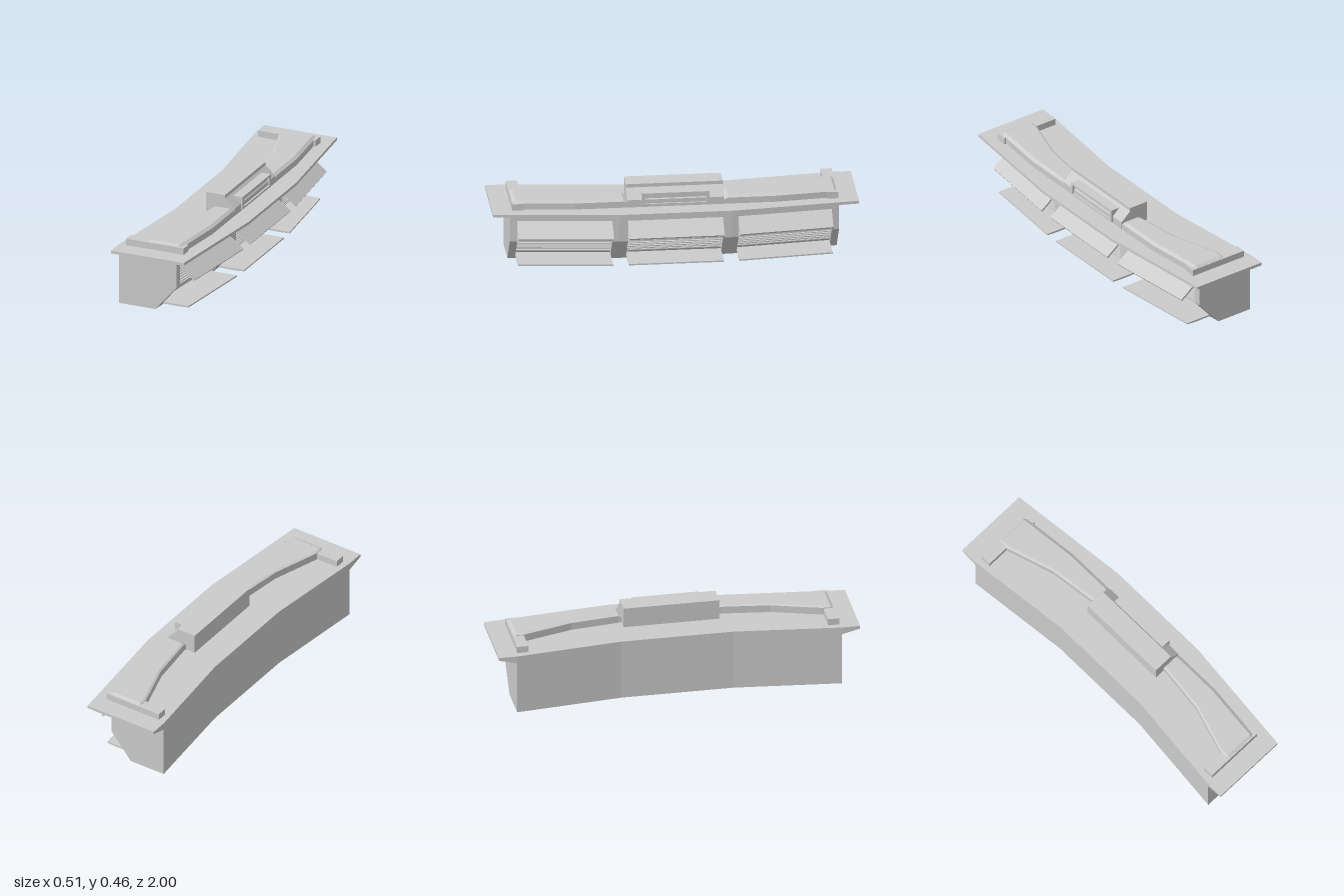
import * as THREE from 'three';

const HALF = 0.31; // straight middle section; beyond it the wings sweep back
const bend = (x, z) => x - 0.105 * Math.max(0, Math.abs(z) - HALF);

// Loft of xy cross-sections [z, points] along z, capped at both ends, flat faces
function loft(sections, bent = true) {
  const rows = sections.slice().sort((a, b) => a[0] - b[0]).map(([z, pts]) => {
    const v = pts.map(([x, y]) => new THREE.Vector2(bent ? bend(x, z) : x, y));
    if (THREE.ShapeUtils.area(v) < 0) v.reverse();
    return { z, v };
  });
  const pos = [];
  const put = (r, i) => pos.push(r.v[i].x, r.v[i].y, r.z);
  for (let k = 0; k < rows.length - 1; k++) {
    const A = rows[k], B = rows[k + 1], n = A.v.length;
    for (let i = 0; i < n; i++) {
      const j = (i + 1) % n;
      put(A, i); put(A, j); put(B, j);
      put(A, i); put(B, j); put(B, i);
    }
  }
  [[rows[0], -1], [rows[rows.length - 1], 1]].forEach(([r, dir]) => {
    for (const t of THREE.ShapeUtils.triangulateShape(r.v, [])) {
      const facing = THREE.ShapeUtils.area(t.map(i => r.v[i]));
      (facing * dir < 0 ? [t[0], t[2], t[1]] : t).forEach(i => put(r, i));
    }
  });
  const g = new THREE.BufferGeometry();
  g.setAttribute('position', new THREE.Float32BufferAttribute(pos, 3));
  g.computeVertexNormals();
  return g;
}

export function createModel() {
  const root = new THREE.Group();
  root.name = 'curvedConsoleDesk';
  const mat = new THREE.MeshStandardMaterial({ color: 0xcccccc, flatShading: true });
  const add = (name, geo, parent = root) => {
    const m = new THREE.Mesh(geo, mat);
    m.name = name;
    parent.add(m);
    return m;
  };
  const prism = (pts, zs) => loft(zs.map(z => [z, pts]));

  // Cabinet: solid pillars between three recessed bays
  const solid = [[-0.19, 0], [0.025, 0], [0.152, 0.147], [0.152, 0.302], [-0.19, 0.302]];
  const recessed = [[-0.19, 0], [0.025, 0], [0.051, 0.03], [0.015, 0.03], [0.1, 0.135],
    [0.1, 0.267], [0.152, 0.267], [0.152, 0.302], [-0.19, 0.302]];
  const pillars = [[-0.9, -0.86], [-0.345, -HALF, -0.26], [0.26, HALF, 0.345], [0.86, 0.9]];
  const bays = [[-0.86, -0.345], [-0.26, 0.26], [0.345, 0.86]];
  pillars.forEach(zs => add('pillar', prism(solid, zs)));

  const surfaceX = y => Math.min(0.152, 0.025 + y * 0.864);
  bays.forEach(zs => {
    const bay = new THREE.Group();
    bay.name = 'bay';
    root.add(bay);
    add('cabinetBay', prism(recessed, zs), bay);
    // Louvre slats follow the front of the cabinet, set back a little
    for (let i = 0; i < 14; i++) {
      const y = 0.05 + i * 0.0155;
      const tip = Math.min(0.145, surfaceX(y) - (y < 0.14 ? 0.024 : 0.007));
      add('slat', prism([[tip - 0.065, y - 0.004], [tip, y], [tip, y + 0.005], [tip - 0.065, y + 0.009]], zs), bay);
    }
    // Open hatch flaps
    add('upperFlap', prism([[0.15, 0.267], [0.242, 0.196], [0.236, 0.187], [0.144, 0.258]], zs), bay);
    add('lowerFlap', prism([[0.05, 0.033], [0.202, 0.033], [0.202, 0.025], [0.14, 0.022], [0.05, 0.024]], zs), bay);
  });

  // Desk top with chamfered underside, overhanging the front and both ends
  const plate = (xb, xf, xi, yr, yb) => [[xb, yb], [xi, yb], [xf, yr], [xf, 0.343], [xb, 0.343]];
  const top = [];
  for (const s of [-1, 1]) {
    top.push([s, plate(-0.255, 0.18, 0.08, 0.327, 0.326)]);
    top.push([s * 0.9, plate(-0.255, 0.19, 0.09, 0.327, 0.302)]);
    top.push([s * HALF, plate(-0.19, 0.252, 0.152, 0.327, 0.302)]);
  }
  add('deskTop', loft(top, false));

  // Raised control strips and end rails on the two wings
  const strip = (xl, xr, yt) => [[xl, 0.34], [xr, 0.34], [xr, yt - 0.012], [xr - 0.018, yt], [xl + 0.012, yt], [xl, yt - 0.006]];
  for (const s of [-1, 1]) {
    add('controlStrip', loft([
      [s * 0.885, strip(-0.085, 0.112, 0.381)],
      [s * 0.87, strip(-0.085, 0.114, 0.39)],
      [s * 0.825, strip(-0.085, 0.118, 0.39)],
      [s * 0.55, strip(0.0, 0.147, 0.39)],
      [s * 0.285, strip(0.033, 0.147, 0.39)],
      [s * 0.265, strip(0.033, 0.147, 0.38)],
    ], false));
    const rail = [[-0.215, 0.34], [0.13, 0.34], [0.13, 0.38], [-0.215, 0.38]];
    add('endRail', loft([[s * 0.83, rail], [s * 0.892, rail]], false));
  }

  // Central housing with a sloped front
  add('centralHousing', prism([[-0.025, 0.34], [0.148, 0.34], [0.148, 0.385], [0.09, 0.437],
    [0.09, 0.456], [-0.025, 0.456]], [-0.265, 0.265]));

  // Display: bezel around a recessed panel, facing +x
  const rect = (P, w, y0, y1) => new P([[-w, y0], [w, y0], [w, y1], [-w, y1]].map(p => new THREE.Vector2(...p)));
  const bezel = rect(THREE.Shape, 0.185, 0.352, 0.425);
  bezel.holes.push(rect(THREE.Path, 0.168, 0.363, 0.413));
  const frame = add('displayBezel', new THREE.ExtrudeGeometry(bezel, { depth: 0.058, bevelEnabled: false }));
  frame.rotation.y = Math.PI / 2;
  frame.position.x = 0.1;
  const panel = add('displayPanel', new THREE.BoxGeometry(0.04, 0.054, 0.34));
  panel.position.set(0.122, 0.388, 0);
  return root;
}
